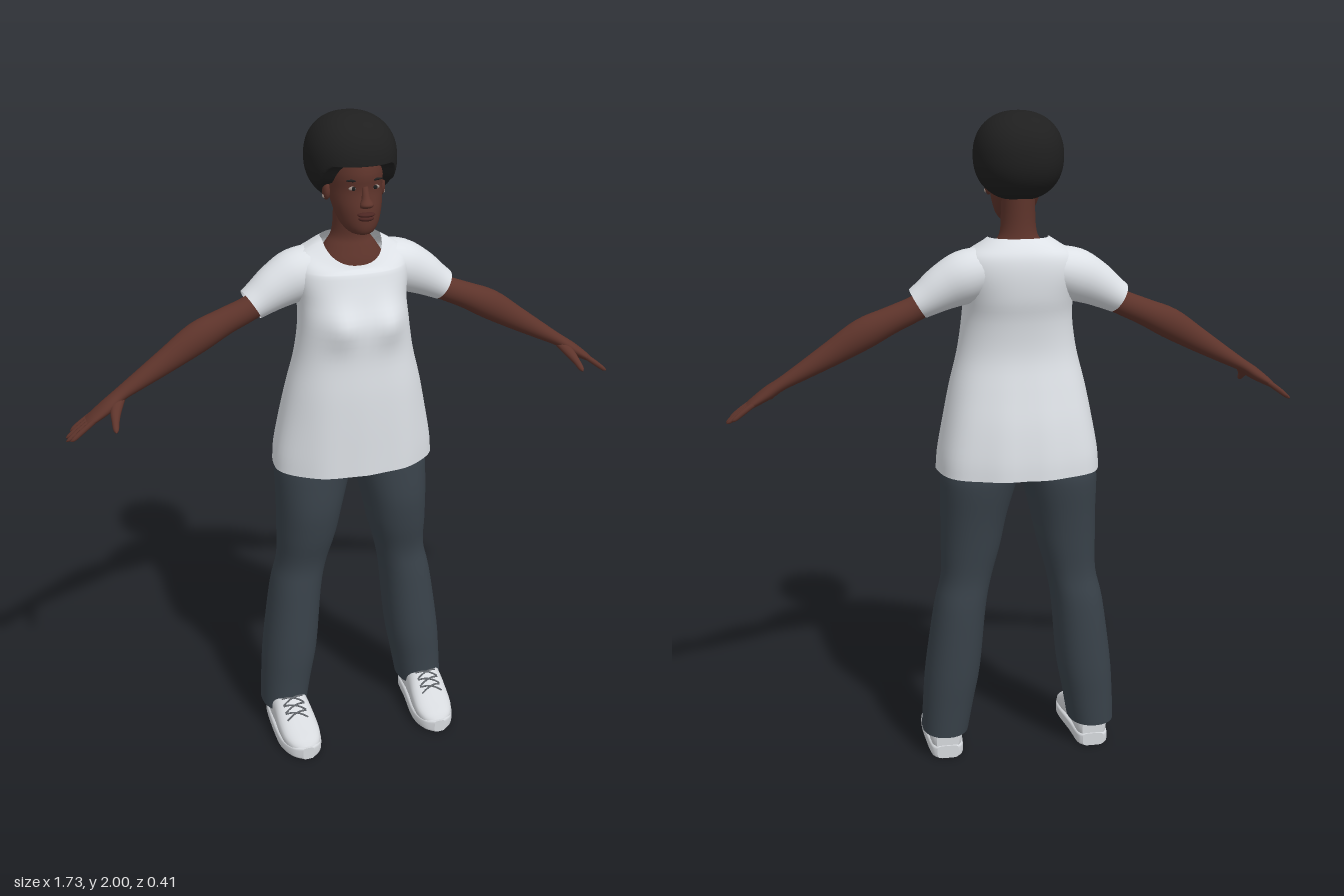
import * as THREE from 'three';

const mat = (name, color, side = THREE.FrontSide) => {
  const m = new THREE.MeshStandardMaterial({ color, side });
  m.name = name;
  return m;
};

// Scalar Catmull-Rom
const spline = (a, b, c, d, t) =>
  0.5 * (2 * b + (c - a) * t + (2 * a - 5 * b + 4 * c - d) * t * t + (3 * b - a - 3 * c + d) * t * t * t);

// Smooth skin through rows [x, y, z, ru, rv]. v is the section's second axis, d the fixed travel
// direction (otherwise the path tangent), n the superellipse power, s = -1 mirrors in x.
function loft(rows, { d = null, v = [0, 0, 1], n = 2, s = 1, seg = 28, sub = 4, caps = true, warp = null } = {}) {
  const rings = [];
  const at = (i) => rows[Math.min(Math.max(i, 0), rows.length - 1)];
  for (let i = 0; i < rows.length - 1; i++)
    for (let k = 0; k < sub + (i === rows.length - 2 ? 1 : 0); k++)
      rings.push(rows[i].map((_, c) => spline(at(i - 1)[c], at(i)[c], at(i + 1)[c], at(i + 2)[c], k / sub)));
  const pos = [], idx = [];
  const point = (p) => {
    if (warp) warp(p);
    pos.push(p.x * s, p.y, p.z);
  };
  const tri = (a, b, c) => (s > 0 ? idx.push(a, b, c) : idx.push(a, c, b));
  const centre = (r) => new THREE.Vector3(r[0], r[1], r[2]);
  const pw = (q) => Math.sign(q) * Math.abs(q) ** (2 / n);
  const addRing = (i) => {
    const r = rings[i];
    const dir = d ? new THREE.Vector3(...d)
      : centre(rings[Math.min(i + 1, rings.length - 1)]).sub(centre(rings[Math.max(i - 1, 0)])).normalize();
    const u = dir.clone().cross(new THREE.Vector3(...v)).normalize();
    const w = u.clone().cross(dir);
    const start = pos.length / 3;
    for (let j = 0; j < seg; j++) {
      const t = (j / seg) * Math.PI * 2;
      point(centre(r).addScaledVector(u, r[3] * pw(Math.cos(t))).addScaledVector(w, r[4] * pw(Math.sin(t))));
    }
    return start;
  };
  rings.forEach((_, i) => {
    const b = addRing(i);
    if (i === 0) return;
    for (let j = 0; j < seg; j++) {
      const k = (j + 1) % seg;
      tri(b - seg + j, b + j, b - seg + k);
      tri(b - seg + k, b + j, b + k);
    }
  });
  if (caps) for (const i of [0, rings.length - 1]) {
    const b = addRing(i), c = pos.length / 3;
    point(centre(rings[i]));
    for (let j = 0; j < seg; j++) {
      const k = (j + 1) % seg;
      i === 0 ? tri(c, b + j, b + k) : tri(c, b + k, b + j);
    }
  }
  const g = new THREE.BufferGeometry();
  g.setAttribute('position', new THREE.Float32BufferAttribute(pos, 3));
  g.setIndex(idx);
  g.computeVertexNormals();
  return g;
}

export function createModel() {
  const root = new THREE.Group();
  root.name = 'standingWoman';
  const skin = mat('skin brown', 0x5e342b), lip = mat('lip brown', 0x4c2622);
  const hair = mat('hair black', 0x1f1f1f), cloth = mat('shirt white', 0xdde1e6, THREE.DoubleSide);
  const denim = mat('trouser slate', 0x39424a), shoe = mat('shoe white', 0xd6d9dd);
  const lace = mat('lace grey', 0x63676c), eyeWhite = mat('eye white', 0x9c8c84);
  const add = (name, geo, material, parent = root) => {
    const m = new THREE.Mesh(geo, material);
    m.name = name;
    parent.add(m);
    return m;
  };
  const ball = (name, material, p, r, parent = root) => {
    const m = add(name, new THREE.SphereGeometry(1, 20, 14), material, parent);
    m.position.set(...p);
    m.scale.set(...r);
    return m;
  };
  const up = [0, 1, 0];
  // Horizontal section from half width, front z and back z
  const slice = ([y, rx, zf, zb]) => [0, y, (zf + zb) / 2, rx, (zf - zb) / 2];

  // Shirt body: flared hem, bust and scooped collar
  add('shirtBody', loft([
    [0.94, 0.25, 0.13, -0.205], [1.0, 0.245, 0.13, -0.202], [1.1, 0.226, 0.13, -0.188],
    [1.2, 0.205, 0.128, -0.166], [1.3, 0.18, 0.122, -0.146], [1.4, 0.165, 0.122, -0.15],
    [1.47, 0.165, 0.095, -0.163], [1.54, 0.18, 0.07, -0.166], [1.59, 0.168, 0.058, -0.158],
    [1.62, 0.125, 0.05, -0.138], [1.642, 0.09, 0.045, -0.113]].map(slice), {
    d: up, n: 2.3, seg: 56, caps: false,
    warp: (p) => {
      const front = THREE.MathUtils.clamp((p.z + 0.03) / 0.08, 0, 1);
      if (p.z > 0) p.z += 0.02 * Math.exp(-((Math.abs(p.x) - 0.075) ** 2) / 0.002 - (p.y - 1.41) ** 2 / 0.003);
      const fold = 1 + 0.014 * Math.max(0, (1.3 - p.y) / 0.36) * Math.sin(9 * Math.atan2(p.z + 0.03, p.x));
      p.x *= fold;
      p.z *= fold;
      p.y -= front * Math.max(0, p.y - 1.55) * 0.8;
    },
  }), cloth);

  // Neck with upper chest
  add('neck', loft([
    [1.53, 0.115, 0.045, -0.12], [1.58, 0.1, 0.037, -0.12], [1.62, 0.076, 0.024, -0.108],
    [1.65, 0.056, 0.016, -0.1], [1.7, 0.05, 0.022, -0.097], [1.79, 0.05, 0.03, -0.1]].map(slice), { d: up }), skin);

  // Head
  const head = new THREE.Group();
  head.name = 'head';
  root.add(head);
  add('face', loft([
    [1.675, 0.018, 0.085, 0.04], [1.682, 0.036, 0.097, 0.01], [1.705, 0.055, 0.104, -0.03],
    [1.75, 0.07, 0.103, -0.07], [1.8, 0.077, 0.094, -0.1], [1.85, 0.078, 0.097, -0.11],
    [1.92, 0.065, 0.075, -0.1]].map(slice), { d: up }), skin, head);
  add('nose', loft([
    [0, 1.815, 0.09, 0.009, 0.008], [0, 1.785, 0.1, 0.012, 0.014],
    [0, 1.767, 0.108, 0.02, 0.02], [0, 1.757, 0.1, 0.016, 0.012]], { d: [0, -1, 0], seg: 16 }), skin, head);
  ball('upperLip', lip, [0, 1.738, 0.103], [0.026, 0.007, 0.017], head);
  ball('lowerLip', lip, [0, 1.727, 0.102], [0.023, 0.008, 0.016], head);
  for (const s of [1, -1]) {
    ball('eye', eyeWhite, [s * 0.032, 1.81, 0.084], [0.014, 0.006, 0.005], head);
    ball('iris', hair, [s * 0.032, 1.81, 0.0875], [0.006, 0.006, 0.003], head);
    ball('brow', hair, [s * 0.034, 1.832, 0.086], [0.02, 0.0035, 0.005], head).rotation.z = s * 0.08;
    ball('ear', skin, [s * 0.082, 1.79, -0.008], [0.012, 0.03, 0.018], head);
    ball('earring', eyeWhite, [s * 0.09, 1.772, -0.006], [0.005, 0.006, 0.005], head);
  }

  // Rounded hair, its underside cut up over the face
  const puff = new THREE.SphereGeometry(1, 56, 48);
  const pp = puff.attributes.position;
  const full = (q) => Math.sign(q) * Math.abs(q) ** 0.9;
  for (let i = 0; i < pp.count; i++) {
    const x = full(pp.getX(i)) * 0.13, z = full(pp.getZ(i)) * 0.142 - 0.04;
    const y = 1.873 + full(pp.getY(i)) * 0.127;
    const line = 1.752 + 0.06 * THREE.MathUtils.smoothstep(z, -0.045, 0.015)
      + 0.06 * THREE.MathUtils.smoothstep(z, 0.015, 0.075);
    pp.setXYZ(i, x, Math.max(y, line), z);
  }
  puff.computeVertexNormals();
  add('hair', puff, hair, head);

  for (const s of [1, -1]) {
    const side = s > 0 ? 'left' : 'right';
    // Sleeve
    add(side + 'Sleeve', loft([
      [0.09, 1.55, -0.06, 0.07, 0.085], [0.16, 1.53, -0.062, 0.078, 0.082], [0.22, 1.503, -0.06, 0.068, 0.07],
      [0.27, 1.473, -0.058, 0.055, 0.06], [0.3, 1.455, -0.056, 0.048, 0.056]], { v: [0, 0, -1], s, caps: false }), cloth);

    // Arm with palm
    const arm = new THREE.Group();
    arm.name = side + 'Arm';
    root.add(arm);
    add('armAndPalm', loft([
      [0.2, 1.5, -0.06, 0.038, 0.036], [0.3, 1.445, -0.06, 0.037, 0.037], [0.38, 1.41, -0.062, 0.04, 0.04],
      [0.46, 1.372, -0.06, 0.046, 0.043], [0.55, 1.318, -0.055, 0.037, 0.036], [0.64, 1.265, -0.05, 0.026, 0.031],
      [0.7, 1.23, -0.045, 0.019, 0.028], [0.74, 1.203, -0.036, 0.019, 0.034],
      [0.78, 1.177, -0.033, 0.014, 0.035], [0.8, 1.164, -0.033, 0.01, 0.033]], { v: [0, 0, -1], s }), skin, arm);
    [0.05, 0.066, 0.068, 0.058].forEach((len, i) => {
      const z = -0.059 + i * 0.0175, spread = (i - 1.5) * 0.004;
      add('finger', loft([
        [0.785, 1.174, z, 0.008, 0.009], [0.795 + len * 0.5, 1.166 - len * 0.35, z + spread * 0.6, 0.008, 0.0085],
        [0.795 + len * 0.9, 1.166 - len * 0.66, z + spread, 0.006, 0.007],
        [0.799 + len, 1.164 - len * 0.72, z + spread, 0.001, 0.001]], { v: [0, 0, -1], s, seg: 10 }), skin, arm);
    });
    add('thumb', loft([
      [0.705, 1.222, -0.035, 0.013, 0.018], [0.722, 1.198, 0.0, 0.013, 0.016], [0.73, 1.18, 0.035, 0.01, 0.011],
      [0.734, 1.166, 0.06, 0.008, 0.008], [0.735, 1.161, 0.071, 0.001, 0.001]], { v: [1, 0, 0], s, seg: 12 }), skin, arm);

    // Trouser leg
    add(side + 'TrouserLeg', loft([
      [0.237, 0.085, -0.037, 0.073, 0.092], [0.226, 0.18, -0.04, 0.079, 0.096], [0.21, 0.3, -0.042, 0.085, 0.102],
      [0.186, 0.5, -0.047, 0.08, 0.098], [0.165, 0.6, -0.045, 0.078, 0.092], [0.15, 0.7, -0.038, 0.091, 0.108],
      [0.139, 0.8, -0.037, 0.101, 0.122], [0.125, 0.9, -0.046, 0.115, 0.129], [0.113, 0.95, -0.048, 0.122, 0.128],
      [0.1, 1.03, -0.045, 0.12, 0.122]], { d: up, n: 2.2, s }), denim);

    // Shoe: upper, sole and crossed laces
    const foot = new THREE.Group();
    foot.name = side + 'Shoe';
    root.add(foot);
    const along = { d: [0, 0, 1], v: up, s };
    add('upper', loft([
      [-0.097, 0.095, 0.035], [-0.07, 0.12, 0.05], [0, 0.15, 0.057], [0.05, 0.14, 0.06], [0.1, 0.107, 0.063],
      [0.15, 0.078, 0.06], [0.185, 0.06, 0.045], [0.203, 0.042, 0.022]].map(([z, top, w]) =>
      [0.236 - Math.max(0, z) * 0.05, (top + 0.015) / 2, z, w, (top - 0.015) / 2]), { ...along, n: 2.5 }), shoe, foot);
    add('sole', loft([
      [-0.102, 0.034], [-0.08, 0.05], [0, 0.058], [0.1, 0.067], [0.15, 0.063], [0.19, 0.045], [0.21, 0.018]].map(([z, w]) =>
      [0.236 - Math.max(0, z) * 0.05, 0.022, z, w, 0.021]), { ...along, n: 5 }), shoe, foot);
    for (let i = 0; i < 3; i++) for (const k of [1, -1]) {
      const z = 0.062 + i * 0.022, y = 0.14 - i * 0.0145;
      const x = s * 0.233;
      const path = new THREE.QuadraticBezierCurve3(
        new THREE.Vector3(x - 0.034, y - 0.012 + k * 0.006, z - k * 0.01), new THREE.Vector3(x, y + 0.01, z),
        new THREE.Vector3(x + 0.034, y - 0.012 - k * 0.006, z + k * 0.01));
      add('lace', new THREE.TubeGeometry(path, 10, 0.0028, 6), lace, foot);
    }
  }
  return root;
}
